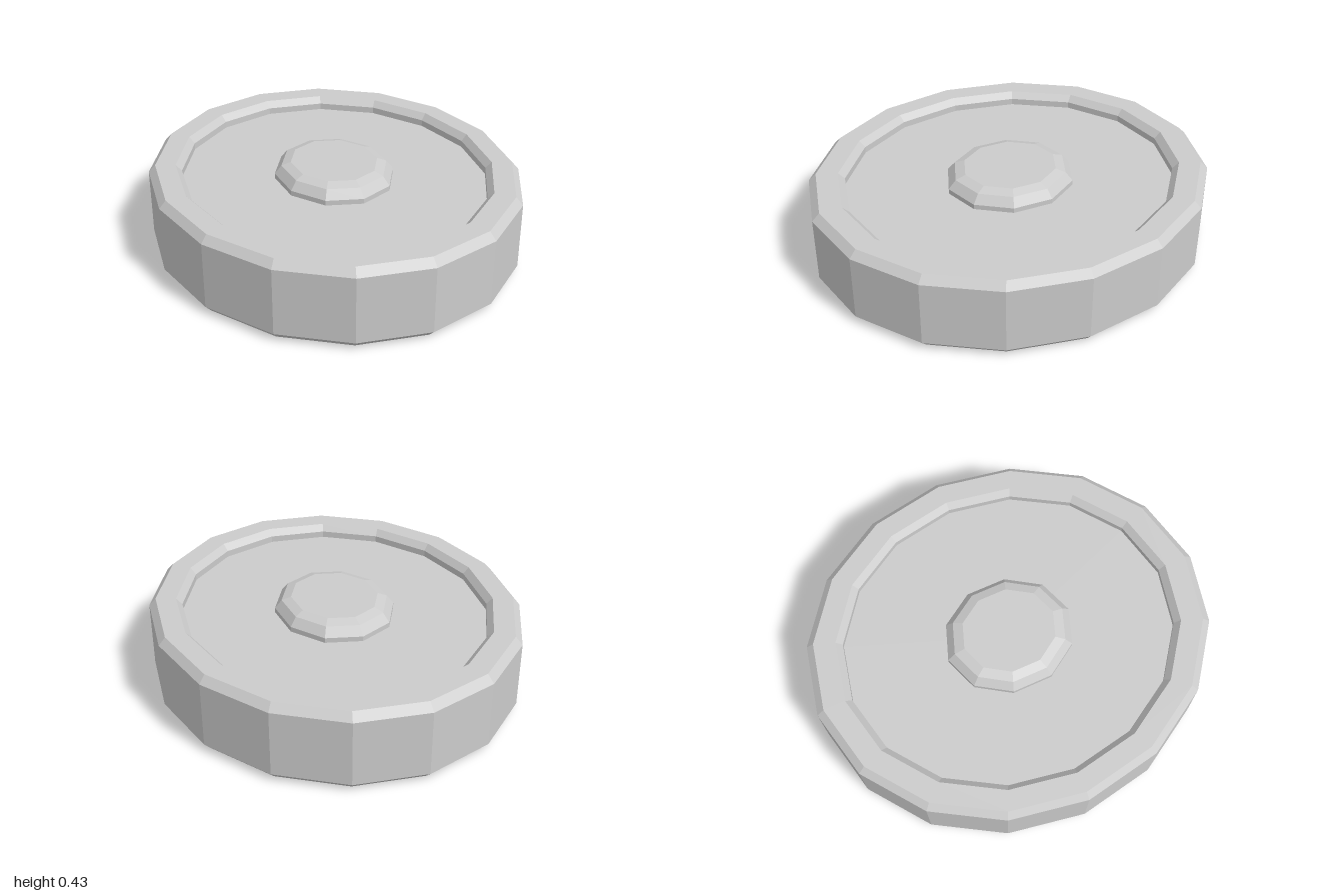
import * as THREE from 'three';

const material = new THREE.MeshStandardMaterial({ color: 0xcccccc, flatShading: true });

// Faceted turned part, slightly narrower in x than in z
function turned(name, profile, sides) {
  const points = profile.map(([r, y]) => new THREE.Vector2(r, y));
  const geometry = new THREE.LatheGeometry(points, sides);
  geometry.scale(0.9, 1, 1);
  const mesh = new THREE.Mesh(geometry, material);
  mesh.name = name;
  return mesh;
}

export function createModel() {
  const group = new THREE.Group();
  group.name = 'ovalDish';
  const floorY = 0.34;

  // Bevelled body with a raised rim around a sunken floor
  group.add(turned('body', [
    [0, 0], [0.963, 0], [1, 0.037], [1, 0.368], [0.963, 0.405],
    [0.853, 0.405], [0.821, 0.373], [0.821, floorY], [0, floorY],
  ], 16));

  // Low domed button in the middle
  group.add(turned('centreButton', [
    [0.323, floorY], [0.323, 0.365], [0.286, 0.408], [0.235, 0.425], [0, 0.425],
  ], 10));

  return group;
}
